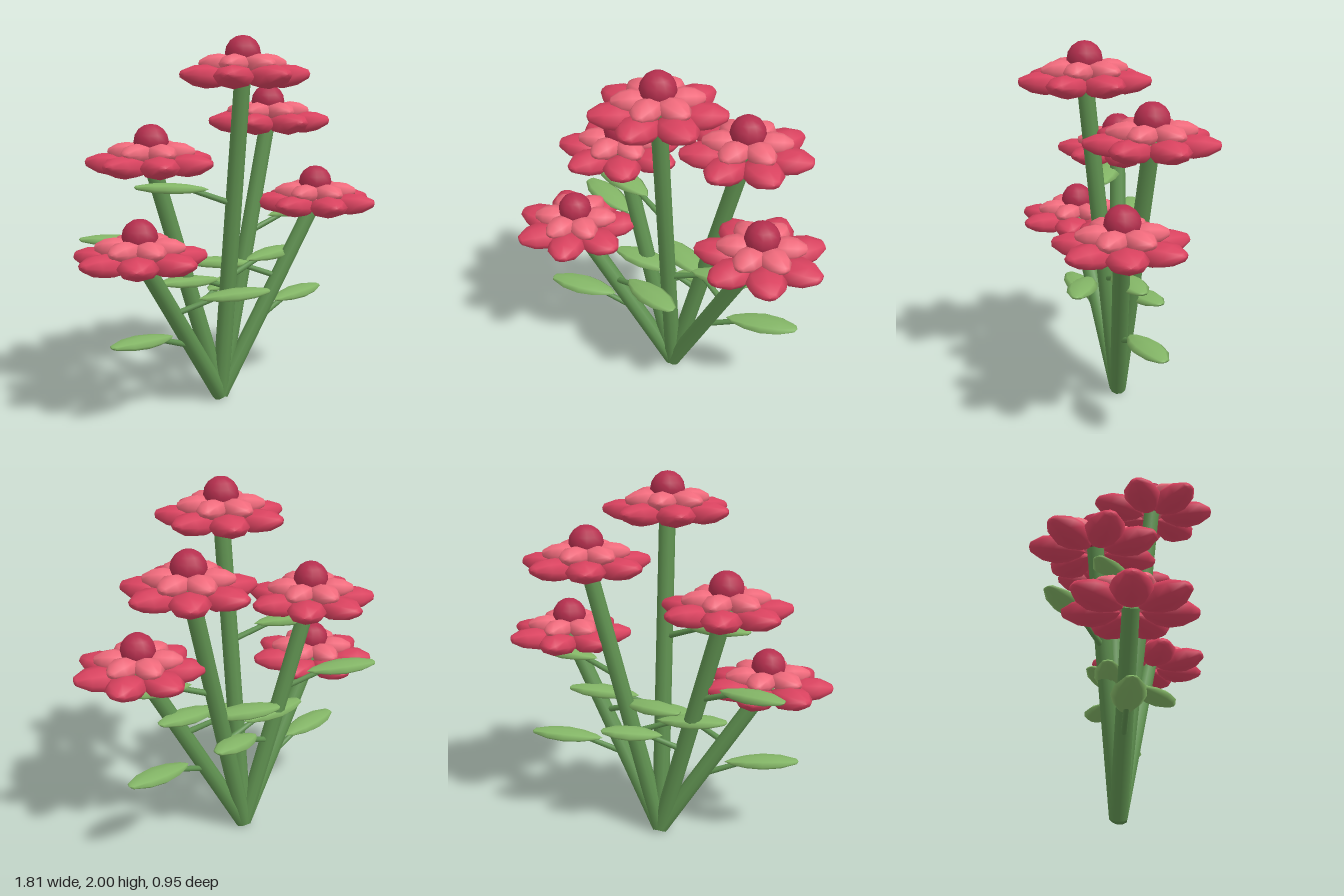
import * as THREE from 'three';

const mat = (color) => new THREE.MeshStandardMaterial({ color });
const stemMat = mat(0x5f9150), leafMat = mat(0x83b566);
const outerMat = mat(0xd9425f), innerMat = mat(0xf06a7c), coreMat = mat(0xb52f4e);

// Blade running from z = 0 to z = 1: pointed at the root, widest midway, blunt at the tip
const blade = new THREE.LatheGeometry(
  [[0, 0], [0.42, 0.1], [0.82, 0.3], [1, 0.52], [0.84, 0.76], [0.36, 0.97], [0, 1]]
    .map(([r, y]) => new THREE.Vector2(r, y)), 8);
blade.rotateX(Math.PI / 2);

function addBlade(parent, name, from, to, halfWidth, halfThick, material) {
  const m = new THREE.Mesh(blade, material);
  m.name = name;
  m.position.copy(from);
  m.lookAt(to);
  m.scale.set(halfWidth, halfThick, from.distanceTo(to));
  parent.add(m);
}

// Round rod between two points
function addRod(parent, name, from, to, r0, r1, material) {
  const m = new THREE.Mesh(new THREE.CylinderGeometry(r1, r0, from.distanceTo(to), 10), material);
  m.name = name;
  m.position.lerpVectors(from, to, 0.5);
  m.quaternion.setFromUnitVectors(new THREE.Vector3(0, 1, 0), to.clone().sub(from).normalize());
  parent.add(m);
}

// Ring of petals around the flower axis; heights are measured from the flower top
function addRing(parent, name, count, turn, r0, r1, y0, y1, width, thick, material) {
  for (let i = 0; i < count; i++) {
    const a = THREE.MathUtils.degToRad(turn + i * 360 / count);
    const at = (r, y) => new THREE.Vector3(Math.cos(a) * r, y, Math.sin(a) * r);
    addBlade(parent, name, at(r0, y0), at(r1, y1), width, thick, material);
  }
}

function makeFlower(top, outerTurn, innerTurn) {
  const flower = new THREE.Group();
  flower.name = 'flowerHead';
  addRing(flower, 'outerPetal', 7, outerTurn, 0.05, 0.345, -0.222, -0.195, 0.105, 0.06, outerMat);
  addRing(flower, 'innerPetal', 6, innerTurn, 0.01, 0.23, -0.145, -0.145, 0.078, 0.052, innerMat);
  const core = new THREE.Mesh(new THREE.SphereGeometry(0.092, 12, 8), coreMat);
  core.name = 'flowerCentre';
  core.position.y = -0.092;
  flower.add(core);
  flower.position.copy(top);
  return flower;
}

// top: highest point of the flower; leaves: [height on the stem, tip x, tip y, tip z]
const plants = [
  { top: [0.015, 2.0, 0.13], turns: [30, 20], leaves: [[0.71, 0.51, 0.81, -0.1], [1.12, -0.52, 1.23, -0.06]] },
  { top: [0.35, 1.74, -0.16], turns: [38, 30], leaves: [[0.6, -0.4, 0.71, -0.03], [0.92, 0.7, 1.03, -0.1]] },
  { top: [-0.4, 1.55, -0.1], turns: [0, 30], leaves: [[0.53, 0.25, 0.64, -0.24], [0.84, -0.76, 0.95, -0.24]] },
  { top: [0.56, 1.29, 0.015], turns: [2, 30], leaves: [[0.43, 0.72, 0.54, -0.17], [0.67, -0.18, 0.78, -0.17]] },
  { top: [-0.57, 1.1, 0.12], turns: [14, 30], leaves: [[0.36, -0.75, 0.47, 0.16], [0.56, 0.15, 0.66, 0.2]] },
];

export function createModel() {
  const model = new THREE.Group();
  model.name = 'flowerBunch';
  const root = new THREE.Vector3(-0.02, 0.025, -0.05);

  for (const { top, turns, leaves } of plants) {
    const plant = new THREE.Group();
    plant.name = 'flowerPlant';
    const head = new THREE.Vector3(...top);
    const stemTop = head.clone().add(new THREE.Vector3(0, -0.2, 0));
    addRod(plant, 'stem', root, stemTop, 0.047, 0.044, stemMat);
    plant.add(makeFlower(head, ...turns));

    // Leaves on thin stalks
    for (const [h, x, y, z] of leaves) {
      const joint = root.clone().lerp(stemTop, (h - root.y) / (stemTop.y - root.y));
      const tip = new THREE.Vector3(x, y, z);
      const leafRoot = joint.clone().lerp(tip, 0.25).setY(tip.y - 0.025);
      const stalkEnd = joint.clone().lerp(tip, 0.45).setY(tip.y - 0.02);
      addRod(plant, 'leafStalk', joint, stalkEnd, 0.017, 0.014, stemMat);
      addBlade(plant, 'leaf', leafRoot, tip, 0.085, 0.03, leafMat);
    }
    model.add(plant);
  }
  return model;
}
